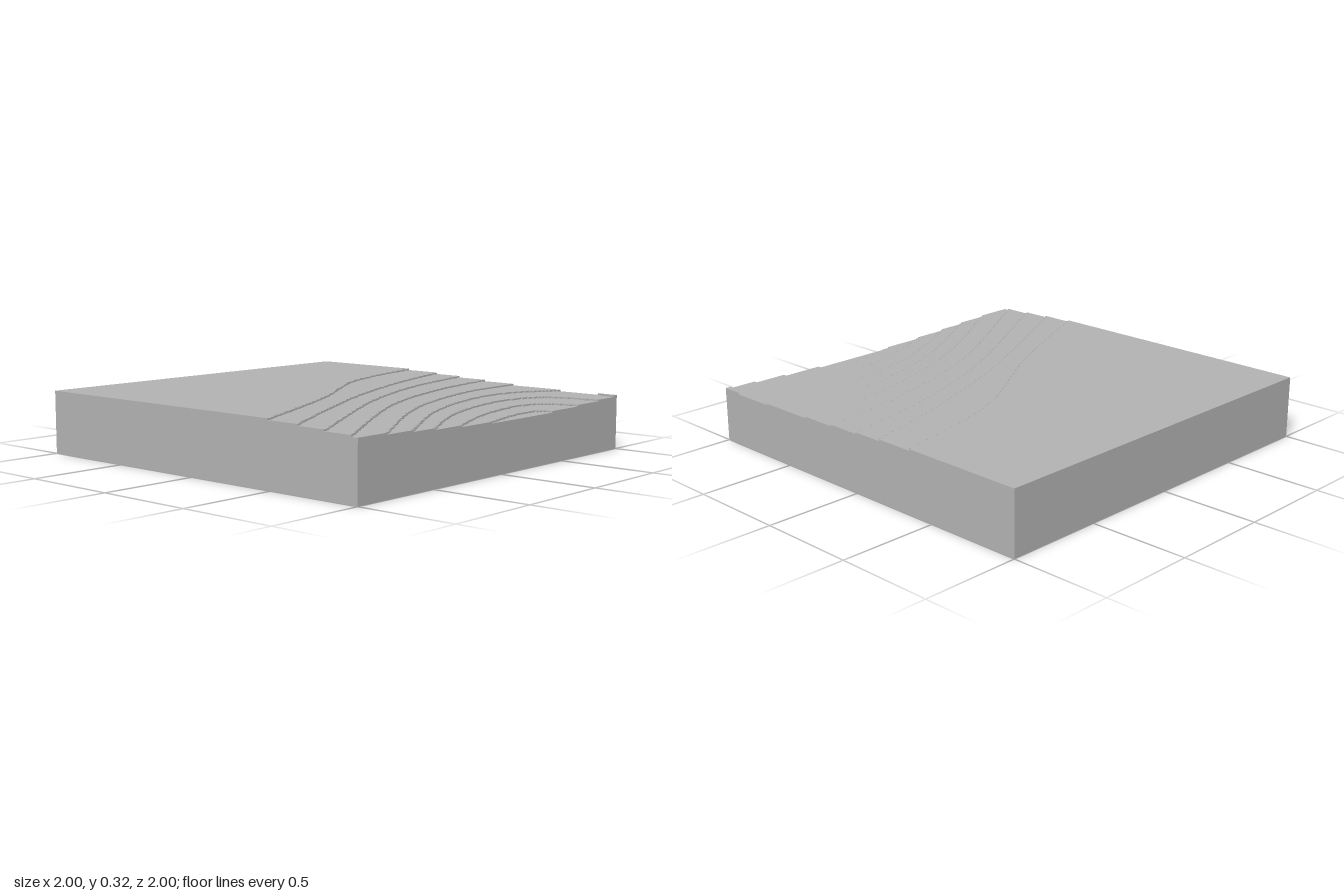
import * as THREE from 'three';

const TOP = 0.316, STEP = 0.008, CELLS = 160, CELL = 2 / CELLS;

// Front edge of each terrace as [x, z] points, from the highest down
const CONTOURS = [
  [[-1, 0.49], [-0.3, 0.17], [0.35, -0.2], [1, -0.36]],
  [[-1, 0.66], [-0.2, 0.25], [0.46, -0.01], [1, -0.16]],
  [[-1, 0.82], [-0.18, 0.36], [0.46, 0.11], [1, 0]],
  [[-1, 0.965], [-0.15, 0.47], [0.5, 0.25], [1, 0.17]],
  [[-0.82, 1], [-0.1, 0.58], [0.55, 0.38], [1, 0.36]],
  [[-0.65, 1], [-0.1, 0.69], [0.4, 0.53], [0.75, 0.53], [1, 0.67]],
  [[-0.5, 1], [-0.1, 0.79], [0.3, 0.67], [0.6, 0.66], [0.75, 0.73], [0.81, 0.85], [0.82, 1]],
  [[-0.32, 1], [0, 0.87], [0.3, 0.8], [0.5, 0.8], [0.6, 0.87], [0.64, 1]],
  [[-0.1, 1], [0.15, 0.94], [0.33, 0.92], [0.4, 0.95], [0.42, 1]],
];

// Depth of a contour at x, snapped to the cell grid
function depthAt(samples, x) {
  for (let i = 1; i < samples.length; i++) {
    const a = samples[i - 1], b = samples[i];
    if (x >= a.x && x < b.x) {
      const z = a.y + (b.y - a.y) * (x - a.x) / (b.x - a.x);
      return Math.min(1, Math.round(z / CELL) * CELL);
    }
  }
  return 1;
}

// Plate reaching from the back edge to a stair-stepped front contour
function terraceGeometry(contour) {
  const samples = new THREE.SplineCurve(contour.map(([x, z]) => new THREE.Vector2(x, z))).getPoints(200);
  const outline = [new THREE.Vector2(1, 1), new THREE.Vector2(-1, 1)];
  let last = null;
  for (let i = 0; i < CELLS; i++) {
    const x = -1 + i * CELL, z = depthAt(samples, x + CELL / 2);
    if (z === last) continue;
    if (last !== null) outline.push(new THREE.Vector2(x, -last));
    outline.push(new THREE.Vector2(x, -z));
    last = z;
  }
  outline.push(new THREE.Vector2(1, -last));
  const geometry = new THREE.ExtrudeGeometry(new THREE.Shape(outline), { depth: STEP, bevelEnabled: false });
  return geometry.rotateX(-Math.PI / 2);
}

export function createModel() {
  const group = new THREE.Group();
  group.name = 'terracedGround';
  const stone = new THREE.MeshStandardMaterial({ color: 0xb2b2b2 });
  stone.name = 'stoneGrey';

  const add = (name, geometry, x, y, z) => {
    const mesh = new THREE.Mesh(geometry, stone);
    mesh.name = name;
    mesh.position.set(x, y, z);
    group.add(mesh);
  };

  // Solid base slab up to the lowest terrace
  const baseHeight = TOP - STEP * CONTOURS.length;
  add('baseSlab', new THREE.BoxGeometry(2, baseHeight, 2), 0, baseHeight / 2, 0);

  // Stacked terraces
  CONTOURS.forEach((contour, i) => add(`terrace${i + 1}`, terraceGeometry(contour), 0, TOP - STEP * (i + 1), 0));

  // Small rise in the front corner
  const corner = new THREE.Shape([[1, -0.89], [0.987, -0.92], [0.975, -0.96], [0.97, -1], [1, -1]]
    .map(([x, y]) => new THREE.Vector2(x, y)));
  add('cornerRise', new THREE.ExtrudeGeometry(corner, { depth: STEP, bevelEnabled: false }).rotateX(-Math.PI / 2),
    0, TOP - STEP * 6, 0);

  return group;
}
